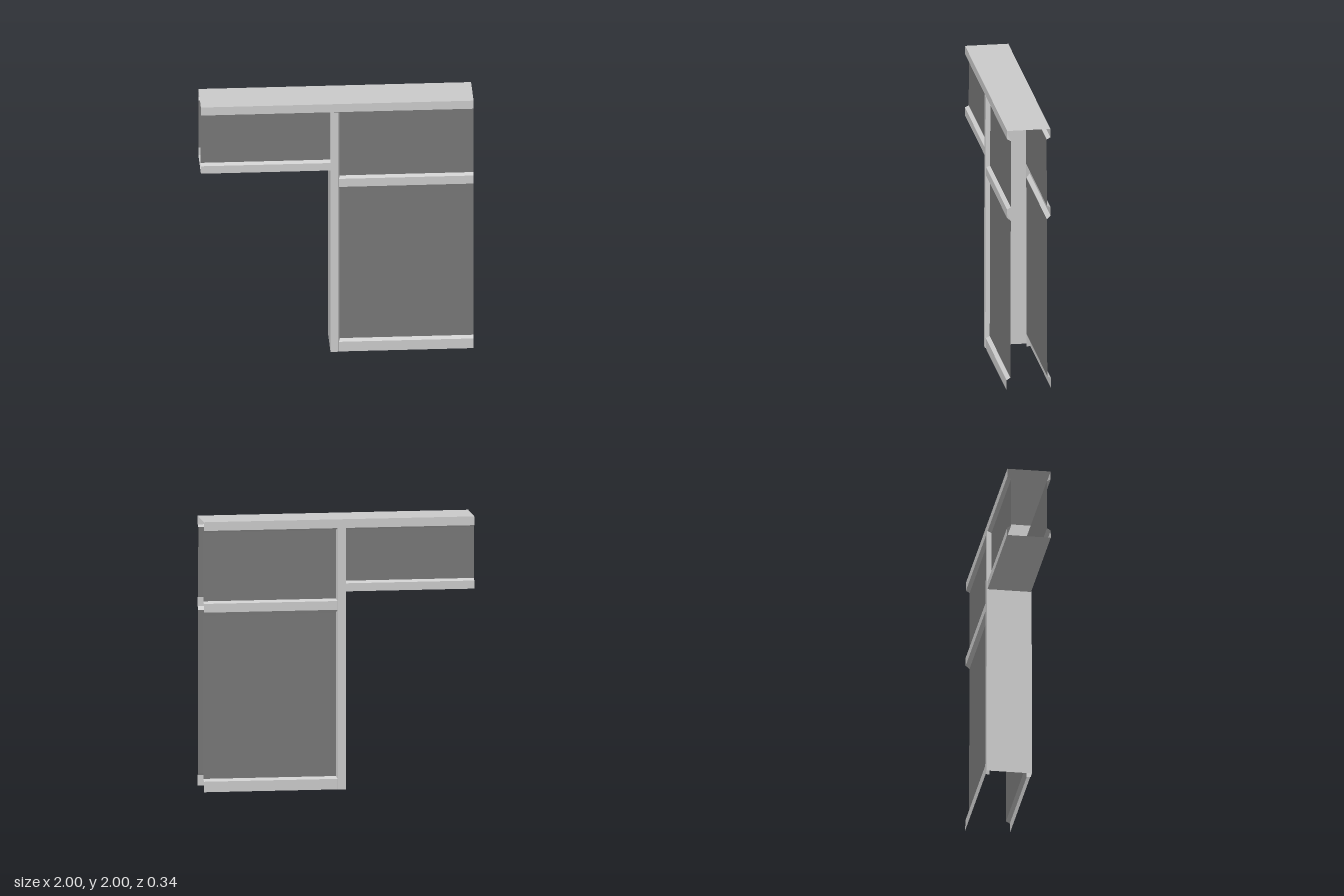
import * as THREE from 'three';

const trimMat = new THREE.MeshStandardMaterial({ color: 0xcccccc, side: THREE.DoubleSide, flatShading: true });
const panelMat = new THREE.MeshStandardMaterial({ color: 0x777777, side: THREE.DoubleSide, flatShading: true });

// Depths from the wall's middle plane; the wall narrows slightly towards the top
const FACE = 0.165, PANEL = 0.137, POST = 0.169;
const POST_L = -0.05, POST_R = 0.01, POST_BEVEL = 0.02, POST_TOP = 1.935;
const taper = (d, y) => d - 0.0025 * y;

// Mesh of flat quads, each listed counter-clockwise seen from outside
function quadMesh(name, quads, material) {
  const pos = [];
  for (const [a, b, c, d] of quads) pos.push(...a, ...b, ...c, ...a, ...c, ...d);
  const geo = new THREE.BufferGeometry();
  geo.setAttribute('position', new THREE.Float32BufferAttribute(pos, 3));
  geo.computeVertexNormals();
  const mesh = new THREE.Mesh(geo, material);
  mesh.name = name;
  return mesh;
}

// Horizontal sheet profile [y, depth], bottom to top, run from x0 to x1 on one side of the wall
function rail(name, profile, x0, x1, s, material = trimMat) {
  const quads = [];
  for (let i = 0; i < profile.length - 1; i++) {
    const [[y0, d0], [y1, d1]] = [profile[i], profile[i + 1]];
    const z0 = s * taper(d0, y0), z1 = s * taper(d1, y1);
    const q = [[x0, y0, z0], [x1, y0, z0], [x1, y1, z1], [x0, y1, z1]];
    quads.push(s > 0 ? q : q.reverse());
  }
  return quadMesh(name, quads, material);
}

// Upright sheet profile [x, depth], left to right in the front view
function upright(name, profile, y0, y1, s) {
  const quads = [];
  for (let i = 0; i < profile.length - 1; i++) {
    const [[xa, da], [xb, db]] = [profile[i], profile[i + 1]];
    const q = [
      [xa, y0, s * taper(da, y0)], [xb, y0, s * taper(db, y0)],
      [xb, y1, s * taper(db, y1)], [xa, y1, s * taper(da, y1)],
    ];
    quads.push(s > 0 ? q : q.reverse());
  }
  return quadMesh(name, quads, trimMat);
}

// Sheet across the wall thickness, facing -x
function jambQuad(x, y0, y1, d) {
  const a = taper(d, y0), b = taper(d, y1);
  return [[x, y0, -a], [x, y0, a], [x, y1, b], [x, y1, -b]];
}

export function createModel() {
  const group = new THREE.Group();
  group.name = 'doorwayWall';

  // Both wall skins
  for (const s of [1, -1]) {
    const skin = new THREE.Group();
    skin.name = s > 0 ? 'frontSkin' : 'backSkin';
    skin.add(
      rail('topTrim', [[1.92, PANEL], [1.935, FACE], [2, FACE]], -1, 1, s),
      rail('lintelTrim', [[1.465, FACE], [1.525, FACE], [1.54, PANEL]], -1, POST_L, s),
      rail('lintelPanel', [[1.54, PANEL], [1.92, PANEL]], -1, POST_L, s, panelMat),
      rail('baseTrim', [[0, FACE], [0.078, FACE], [0.095, PANEL]], POST_R, 1, s),
      rail('lowerPanel', [[0.095, PANEL], [1.305, PANEL]], POST_BEVEL, 1, s, panelMat),
      rail('middleRail', [[1.305, PANEL], [1.33, FACE], [1.395, FACE], [1.41, PANEL]], POST_R, 1, s),
      rail('upperPanel', [[1.41, PANEL], [1.92, PANEL]], POST_BEVEL, 1, s, panelMat),
      upright('post', [[POST_L, POST], [POST_R, POST], [POST_BEVEL, PANEL]], 0, POST_TOP, s),
    );
    group.add(skin);
  }

  // Side of the door opening, continued up inside the wall
  group.add(quadMesh('doorJamb', [
    jambQuad(POST_L, 0, POST_TOP, POST),
    jambQuad(POST_L, POST_TOP, 2, FACE),
  ], trimMat));

  // Underside of the door lintel
  const zl = taper(FACE, 1.465);
  group.add(quadMesh('lintelUnderside', [
    [[-1, 1.465, -zl], [POST_L, 1.465, -zl], [POST_L, 1.465, zl], [-1, 1.465, zl]],
  ], trimMat));

  // Top cap
  const zt = taper(FACE, 2);
  group.add(quadMesh('topCap', [
    [[-1, 2, zt], [1, 2, zt], [1, 2, -zt], [-1, 2, -zt]],
  ], trimMat));

  return group;
}
